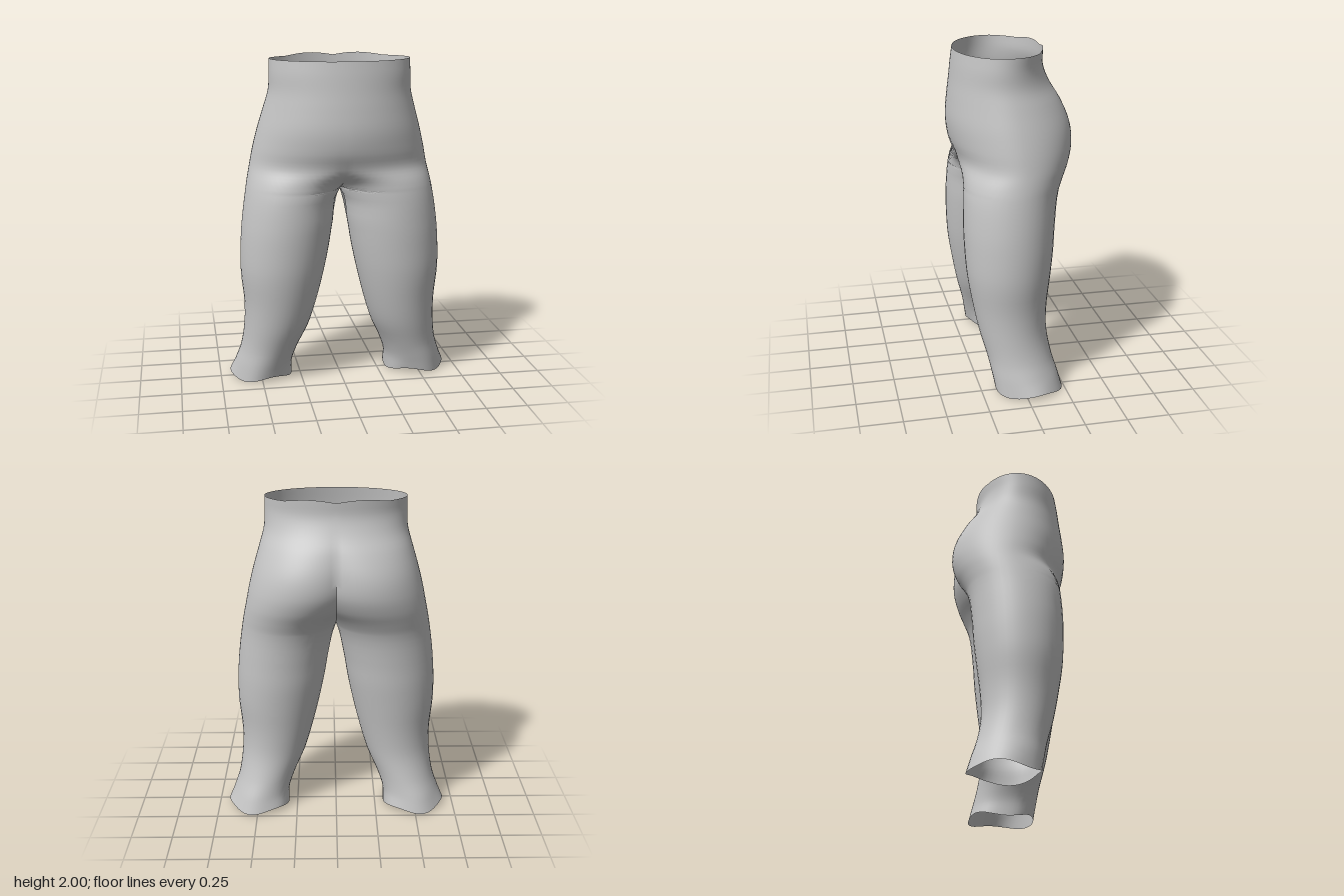
import * as THREE from 'three';
import { mergeVertices, toCreasedNormals } from 'three/addons/utils/BufferGeometryUtils.js';

const SIDES = 40;      // points round each half section
const STEPS = 4;       // rows between two key sections
const CROTCH = 1.2;

// Key sections of the left half:
// height, outer x, front lobe centre x, back lobe centre x, front z, back z
const KEYS = [
  [0.015, 0.685, 0.492, 0.492, 0.165, -0.24],
  [0.1, 0.655, 0.477, 0.477, 0.18, -0.215],
  [0.2, 0.622, 0.445, 0.445, 0.2, -0.188],
  [0.35, 0.6, 0.4, 0.4, 0.24, -0.165],
  [0.5, 0.597, 0.375, 0.375, 0.27, -0.17],
  [0.7, 0.615, 0.359, 0.359, 0.302, -0.195],
  [0.85, 0.614, 0.343, 0.343, 0.312, -0.213],
  [1.0, 0.603, 0.325, 0.325, 0.315, -0.225],
  [CROTCH, 0.575, 0.2875, 0.2875, 0.305, -0.255],
  [1.27, 0.562, 0.235, 0.262, 0.3, -0.285],
  [1.35, 0.545, 0.08, 0.22, 0.305, -0.325],
  [1.45, 0.525, 0.01, 0.18, 0.34, -0.354],
  [1.57, 0.495, 0, 0.15, 0.355, -0.348],
  [1.7, 0.457, 0, 0.1, 0.345, -0.3],
  [1.8, 0.43, 0, 0.04, 0.332, -0.245],
  [1.9, 0.425, 0, 0, 0.32, -0.212],
  [1.985, 0.422, 0, 0, 0.308, -0.213],
];

const sections = new THREE.CubicInterpolant(
  KEYS.map((k) => k[0]), KEYS.flatMap((k) => k.slice(1)), 5, new Float32Array(5));

// Angle at which a lobe meets the middle plane; a full half turn on the legs
const seamAngle = (centre, radius) => Math.acos(Math.max(-1, -centre / radius));

// One section, running from the front seam round the outside to the back seam
function sectionPoints(y) {
  const [outer, cf, cb, zf, zb] = sections.evaluate(y);
  const zMid = (zf + zb) / 2, depth = (zf - zb) / 2;
  const leg = y <= CROTCH + 1e-6;
  const points = [];
  for (let j = 0; j <= SIDES; j++) {
    const t = (2 * j) / SIDES - 1;
    const centre = t < 0 ? cf : cb;
    const radius = outer - centre;
    const a = -t * (leg ? Math.PI : seamAngle(centre, radius));
    // soft folds near the ankle
    const fold = 1 + 0.025 * Math.cos(5 * a) * Math.max(0, 1 - y / 0.2);
    let x = centre + radius * Math.cos(a) * fold;
    const z = zMid + depth * Math.sin(a) * fold;
    if (x < 1e-4) x = 0;
    // uneven hem and waist edges
    const hem = Math.max(0, 1 - (y - 0.015) / 0.085);
    const waist = THREE.MathUtils.clamp((y - 1.9) / 0.085, 0, 1);
    const edge = hem * 0.015 * Math.cos(3 * a + 0.6)
      + waist * (z < 0 ? 0.015 * Math.sin(Math.min(1, x / 0.3) * Math.PI) : -0.005 * Math.sin(a));
    points.push([x, y + edge, z]);
  }
  return points;
}

function trousersGeometry() {
  // rows from the waist down
  const rows = [];
  for (let k = KEYS.length - 1; k > 0; k--) {
    for (let s = 0; s < STEPS; s++) {
      rows.push(sectionPoints(THREE.MathUtils.lerp(KEYS[k][0], KEYS[k - 1][0], s / STEPS)));
    }
  }
  rows.push(sectionPoints(KEYS[0][0]));

  // both halves, joined along the middle seam
  const positions = [], indices = [];
  for (const side of [1, -1]) {
    const start = positions.length / 3;
    for (const row of rows) for (const [x, y, z] of row) positions.push(side * x, y, z);
    for (let i = 0; i < rows.length - 1; i++) {
      for (let j = 0; j < SIDES; j++) {
        const a = start + i * (SIDES + 1) + j, b = a + 1;
        const c = a + SIDES + 1, d = c + 1;
        if (side > 0) indices.push(a, c, b, b, c, d);
        else indices.push(a, b, c, b, d, c);
      }
    }
  }
  const geometry = new THREE.BufferGeometry();
  geometry.setAttribute('position', new THREE.Float32BufferAttribute(positions, 3));
  geometry.setIndex(indices);
  return toCreasedNormals(mergeVertices(geometry, 1e-4), 0.9);
}

export function createModel() {
  const cloth = new THREE.MeshStandardMaterial({ color: 0xc4c4c4, side: THREE.DoubleSide });
  cloth.name = 'grey cloth';

  const trousers = new THREE.Mesh(trousersGeometry(), cloth);
  trousers.name = 'trousers';

  const group = new THREE.Group();
  group.name = 'trousersModel';
  group.add(trousers);
  return group;
}
